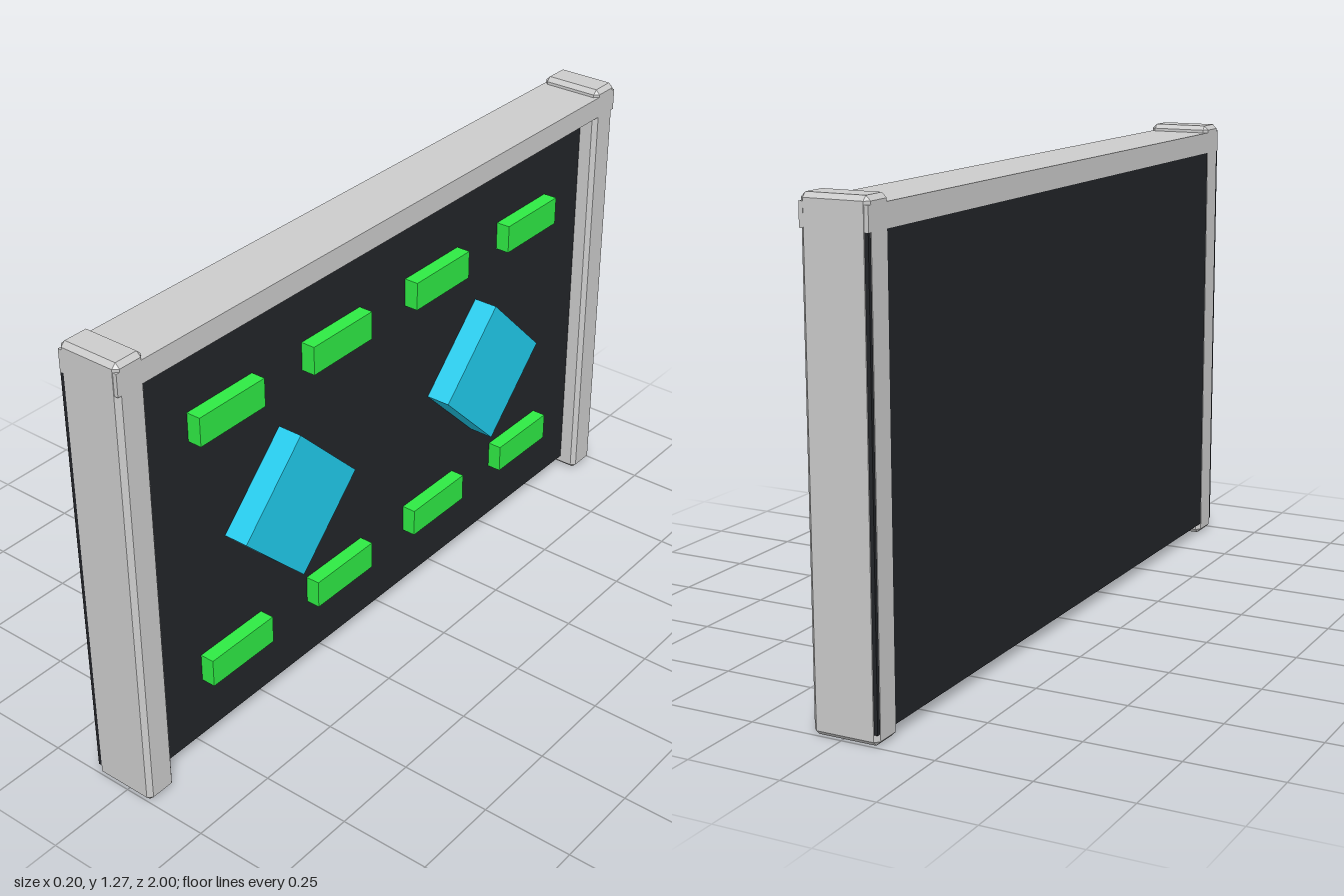
import * as THREE from 'three';
import { ConvexGeometry } from 'three/addons/geometries/ConvexGeometry.js';

const mat = (color) => new THREE.MeshStandardMaterial({ color });

// Box with every edge cut by a flat chamfer c
function chamferedBox(w, h, d, c) {
  const points = [];
  for (const sx of [-1, 1]) for (const sy of [-1, 1]) for (const sz of [-1, 1]) {
    for (let axis = 0; axis < 3; axis++) {
      const inset = [c, c, c];
      inset[axis] = 0;
      points.push(new THREE.Vector3(
        sx * (w / 2 - inset[0]), sy * (h / 2 - inset[1]), sz * (d / 2 - inset[2])));
    }
  }
  return new ConvexGeometry(points);
}

export function createModel() {
  const model = new THREE.Group();
  const grey = mat(0xcccccc), black = mat(0x222428);
  const green = mat(0x2eea44), cyan = mat(0x20cbec);

  const add = (name, geometry, material, x, y, z) => {
    const mesh = new THREE.Mesh(geometry, material);
    mesh.name = name;
    mesh.position.set(x, y, z);
    model.add(mesh);
    return mesh;
  };
  // Box given by its x range, height, depth and centre
  const slab = (name, material, x0, x1, h, d, y, z) =>
    add(name, new THREE.BoxGeometry(x1 - x0, h, d), material, (x0 + x1) / 2, y, z);

  // Dark panel, a hair inside the frame's end faces
  slab('panel', black, -0.099, 0.03, 1.16, 1.998, 0.61, 0);

  // Frame: top rail and two chamfered end posts
  slab('topRail', grey, -0.1, 0.08, 0.06, 1.998, 1.22, 0);
  for (const side of [-1, 1]) {
    add(side > 0 ? 'frontPost' : 'backPost',
      chamferedBox(0.18, 1.27, 0.09, 0.012), grey, -0.01, 0.635, side * 0.955);
  }

  // Two rows of green blocks
  for (const y of [0.242, 0.965]) {
    for (const z of [-0.625, -0.21, 0.21, 0.625]) {
      slab('greenBlock', green, 0.025, 0.07, 0.08, 0.23, y, z);
    }
  }

  // Square tiles turned on their corners
  for (const z of [-0.417, 0.417]) {
    slab('diamondTile', cyan, 0.025, 0.1, 0.303, 0.303, 0.592, z).rotation.x = Math.PI / 4;
  }
  return model;
}
